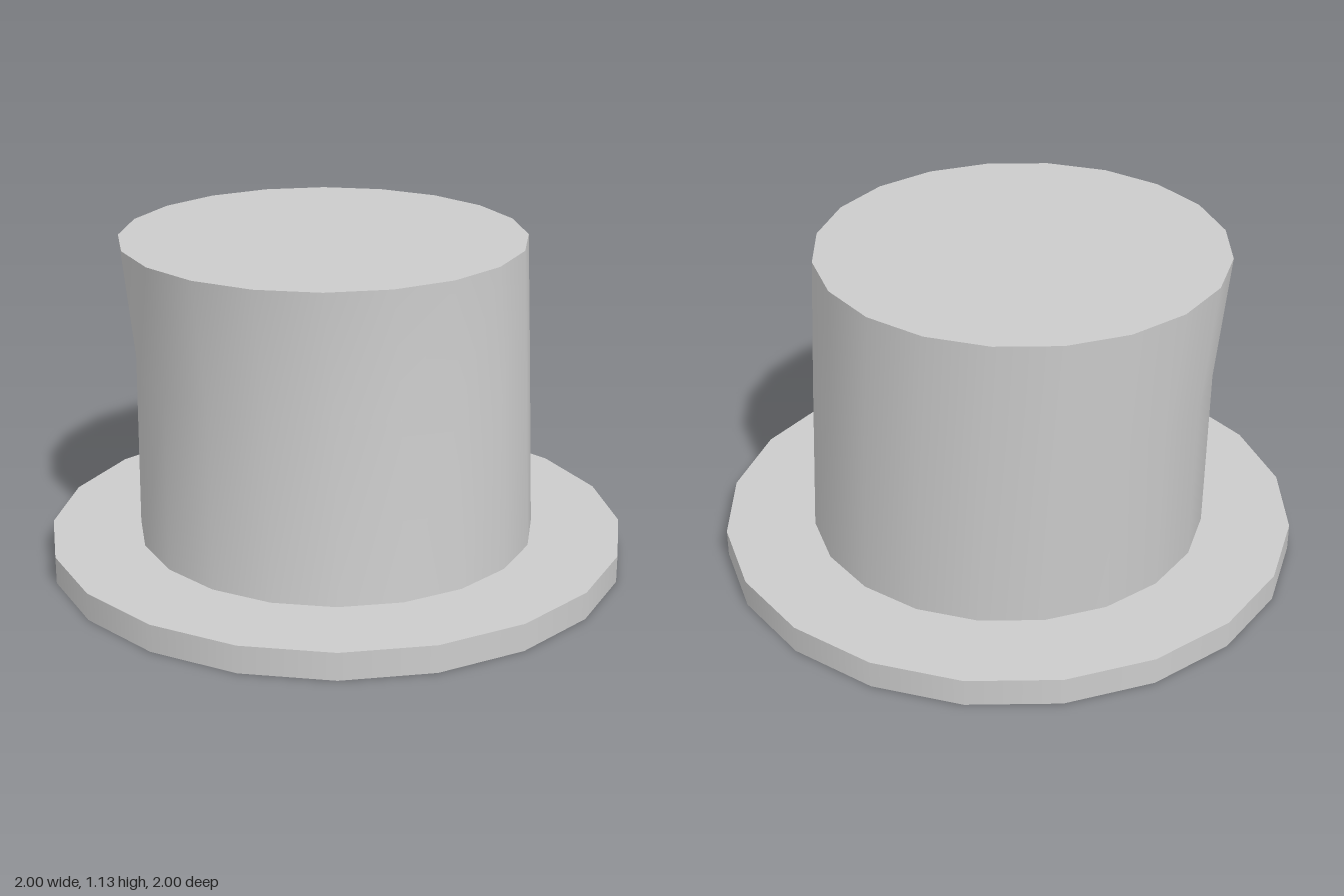
import * as THREE from 'three';
import { mergeVertices } from 'three/addons/utils/BufferGeometryUtils.js';

const SIDES = 20;
const BRIM_TOP = 0.095;
const CROWN_RADIUS = 0.69;

// Rings of the slightly bent crown, from top to bottom
const RINGS = [
  { y: 1.13, x: 0, z: -0.053, r: 0.692 },
  { y: 0.695, x: 0.02, z: -0.027, r: 0.679 },
  { y: BRIM_TOP, x: 0, z: 0, r: CROWN_RADIUS },
];

// Open tube whose rings are shifted and scaled, with smooth normals
function crownWallGeometry() {
  const tube = new THREE.CylinderGeometry(1, 1, 1, SIDES, RINGS.length - 1, true);
  const p = tube.attributes.position;
  for (let i = 0; i < p.count; i++) {
    const s = RINGS[Math.floor(i / (SIDES + 1))];
    p.setXYZ(i, s.x + p.getX(i) * s.r, s.y, s.z + p.getZ(i) * s.r);
  }
  tube.deleteAttribute('uv');
  tube.deleteAttribute('normal');
  const wall = mergeVertices(tube);
  wall.computeVertexNormals();
  return wall;
}

export function createModel() {
  const hat = new THREE.Group();
  hat.name = 'topHat';
  const material = new THREE.MeshStandardMaterial({ color: 0xcccccc, side: THREE.DoubleSide });

  const add = (parent, name, geometry, x = 0, y = 0, z = 0, tilt = 0) => {
    const mesh = new THREE.Mesh(geometry, material);
    mesh.name = name;
    mesh.position.set(x, y, z);
    mesh.rotation.x = tilt;
    parent.add(mesh);
  };

  // Brim: a thin flat ring with a rim hanging from its edge, open below
  const brim = new THREE.Group();
  brim.name = 'brim';
  hat.add(brim);
  add(brim, 'brimRim', new THREE.CylinderGeometry(1, 1, BRIM_TOP, SIDES, 1, true), 0, BRIM_TOP / 2, 0);
  add(brim, 'brimTop', new THREE.RingGeometry(CROWN_RADIUS, 1, SIDES), 0, BRIM_TOP, 0, -Math.PI / 2);

  // Crown: thin wall rising from the brim's hole, closed by a flat lid
  const crown = new THREE.Group();
  crown.name = 'crown';
  hat.add(crown);
  const top = RINGS[0];
  add(crown, 'crownWall', crownWallGeometry());
  add(crown, 'crownTop', new THREE.CircleGeometry(top.r, SIDES), top.x, top.y, top.z, -Math.PI / 2);

  return hat;
}
